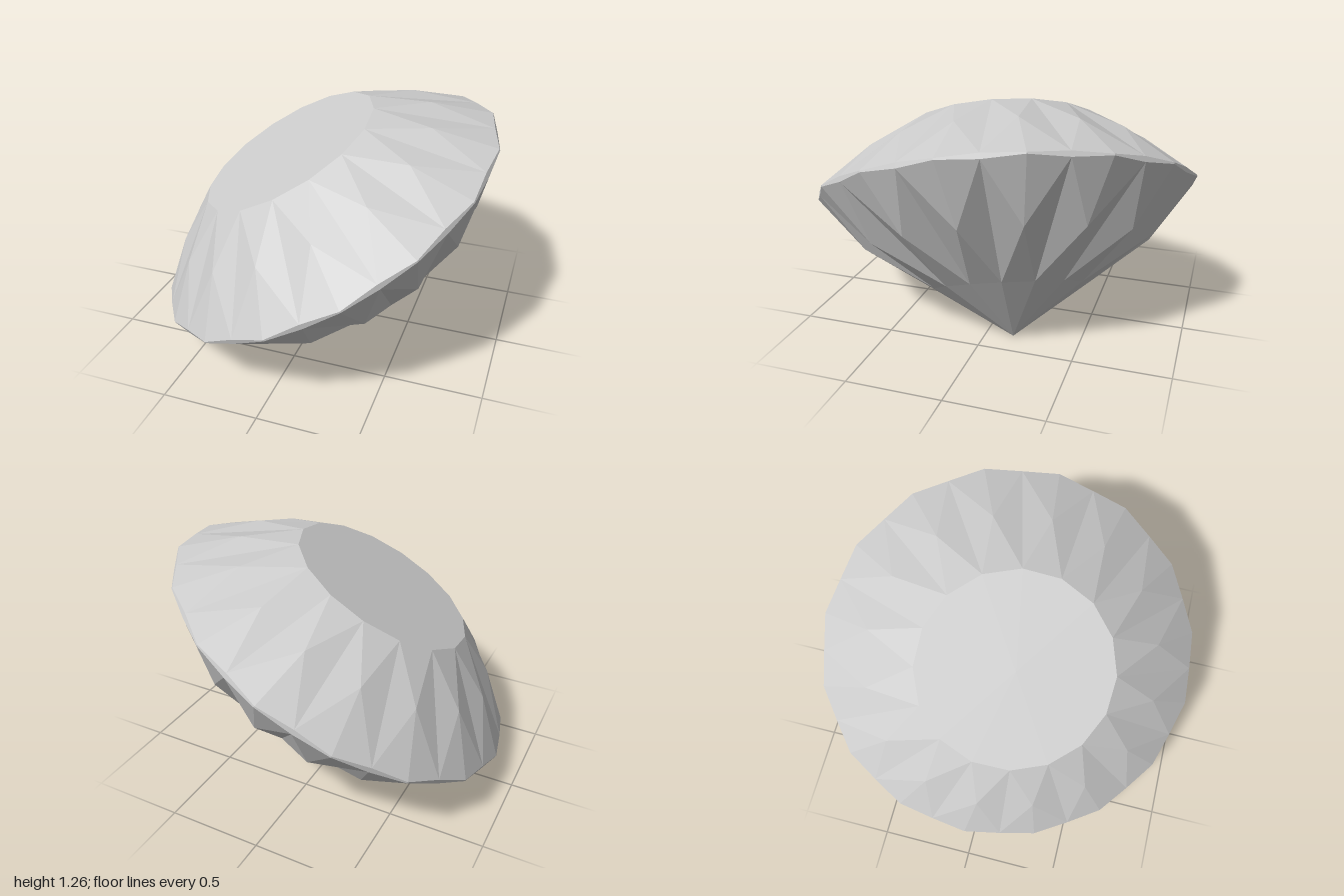
import * as THREE from 'three';

const SIDES = 16;
const HALF = Math.PI / SIDES;
const GIRDLE_R = 1.02;

// Point at radius r and height h; k counts half steps round the axis
const at = (r, h, k) => new THREE.Vector3(r * Math.cos(k * HALF), h, r * Math.sin(k * HALF));

function facetMesh(name, triangles) {
  const geometry = new THREE.BufferGeometry().setFromPoints(triangles.flat());
  geometry.computeVertexNormals();
  const material = new THREE.MeshStandardMaterial({ color: 0xcccccc, flatShading: true });
  const mesh = new THREE.Mesh(geometry, material);
  mesh.name = name;
  return mesh;
}

export function createModel() {
  const table = [], crown = [], girdle = [], pavilion = [];
  const top = at(0, 0.39, 0);
  const culet = at(0, -0.77, 0);

  // Rings of corners: even steps carry the kite tips, odd steps lie between
  const tableCorner = k => at(0.51, 0.39, k);
  const crownTip = k => at(0.768, 0.226, k);
  const corner = (k, side) => at(GIRDLE_R, side * 0.004, k);
  const middle = (k, side) => at(GIRDLE_R * Math.cos(HALF), side * 0.014, k);
  const pavilionTip = k => at(0.775, -0.281, k);
  const pavilionCorner = k => at(0.421, -0.504, k);

  for (let k = 0; k < 2 * SIDES; k += 2) {
    // Flat top and star facets
    const t0 = tableCorner(k - 1), t1 = tableCorner(k + 1), v = crownTip(k);
    table.push([top, t1, t0]);
    crown.push([v, t0, t1]);

    // Kite facets meeting at the bottom point
    const p0 = pavilionCorner(k - 1), p1 = pavilionCorner(k + 1), w = pavilionTip(k);
    pavilion.push([culet, p0, p1], [w, p1, p0]);

    // Mirrored facets on both sides of each kite
    for (const s of [1, -1]) {
      const add = (list, a, b, c) => list.push(s > 0 ? [a, b, c] : [a, c, b]);
      const gHi = corner(k, 1), gLo = corner(k, -1);
      const mHi = middle(k + s, 1), mLo = middle(k + s, -1);
      add(crown, v, tableCorner(k + s), mHi);
      add(crown, v, mHi, gHi);
      add(girdle, gLo, gHi, mHi);
      add(girdle, gLo, mHi, mLo);
      add(pavilion, w, mLo, pavilionCorner(k + s));
      add(pavilion, w, gLo, mLo);
    }
  }

  const gem = new THREE.Group();
  gem.name = 'gem';
  gem.add(
    facetMesh('table', table),
    facetMesh('crown', crown),
    facetMesh('girdle', girdle),
    facetMesh('pavilion', pavilion)
  );

  // Lean the stone so that it rests on its lower facets
  const axis = new THREE.Vector3(-0.461, 0.867, 0.192).normalize();
  const across = new THREE.Vector3(0.885, 0.461, 0.04);
  across.addScaledVector(axis, -across.dot(axis)).normalize();
  const third = new THREE.Vector3().crossVectors(across, axis);
  gem.quaternion.setFromRotationMatrix(new THREE.Matrix4().makeBasis(across, axis, third));
  gem.position.y = 0.668;

  const model = new THREE.Group();
  model.name = 'cutStone';
  model.add(gem);
  return model;
}
